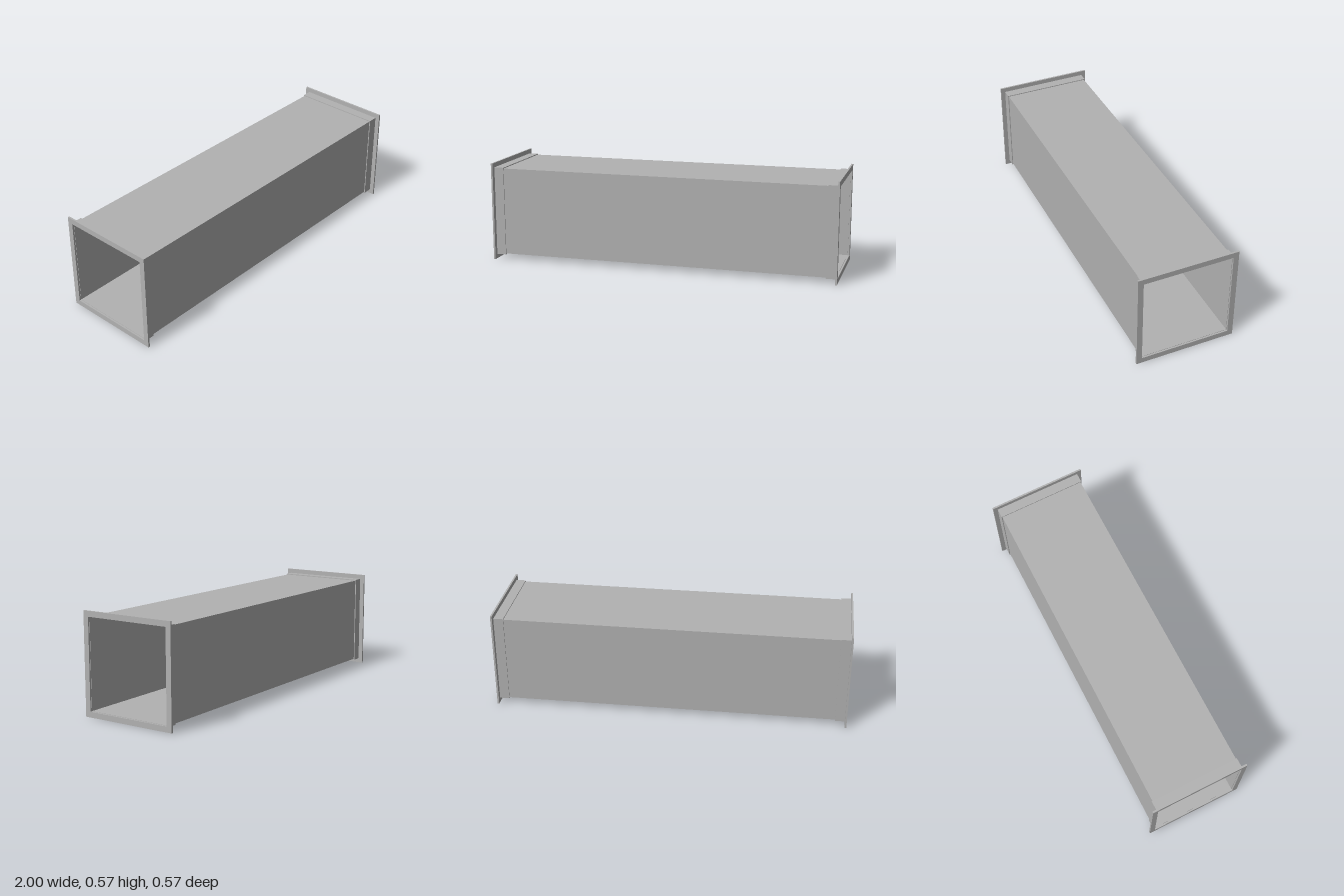
import * as THREE from 'three';

const CENTRE_Y = 0.283;

// Square outline of the given half width
function square(PathType, h) {
  const p = new PathType();
  p.moveTo(-h, -h);
  p.lineTo(h, -h);
  p.lineTo(h, h);
  p.lineTo(-h, h);
  p.closePath();
  return p;
}

// Hollow square section running along x from x0 to x1
function squareTube(name, outer, inner, x0, x1, material) {
  const shape = square(THREE.Shape, outer);
  shape.holes.push(square(THREE.Path, inner));
  const geometry = new THREE.ExtrudeGeometry(shape, { depth: x1 - x0, bevelEnabled: false });
  geometry.rotateY(Math.PI / 2);
  geometry.translate(x0, CENTRE_Y, 0);
  const mesh = new THREE.Mesh(geometry, material);
  mesh.name = name;
  return mesh;
}

export function createModel() {
  const model = new THREE.Group();
  model.name = 'squareDuct';
  const steel = new THREE.MeshStandardMaterial({ color: 0xb2b2b2 });
  steel.name = 'galvanised steel grey';

  // Thin-walled duct, open at both ends
  model.add(squareTube('ductWall', 0.252, 0.25, -0.99, 0.99, steel));

  // Angle frame at each end: a collar around the duct and an upright flange
  for (const [side, s] of [['left', 1], ['right', -1]]) {
    const frame = new THREE.Group();
    frame.name = side + 'EndFrame';
    const span = (a, b) => (s > 0 ? [a, b] : [-b, -a]);
    frame.add(squareTube('collar', 0.257, 0.252, ...span(0.935, 0.99), steel));
    frame.add(squareTube('flange', 0.283, 0.252, ...span(0.99, 1), steel));
    model.add(frame);
  }
  return model;
}
